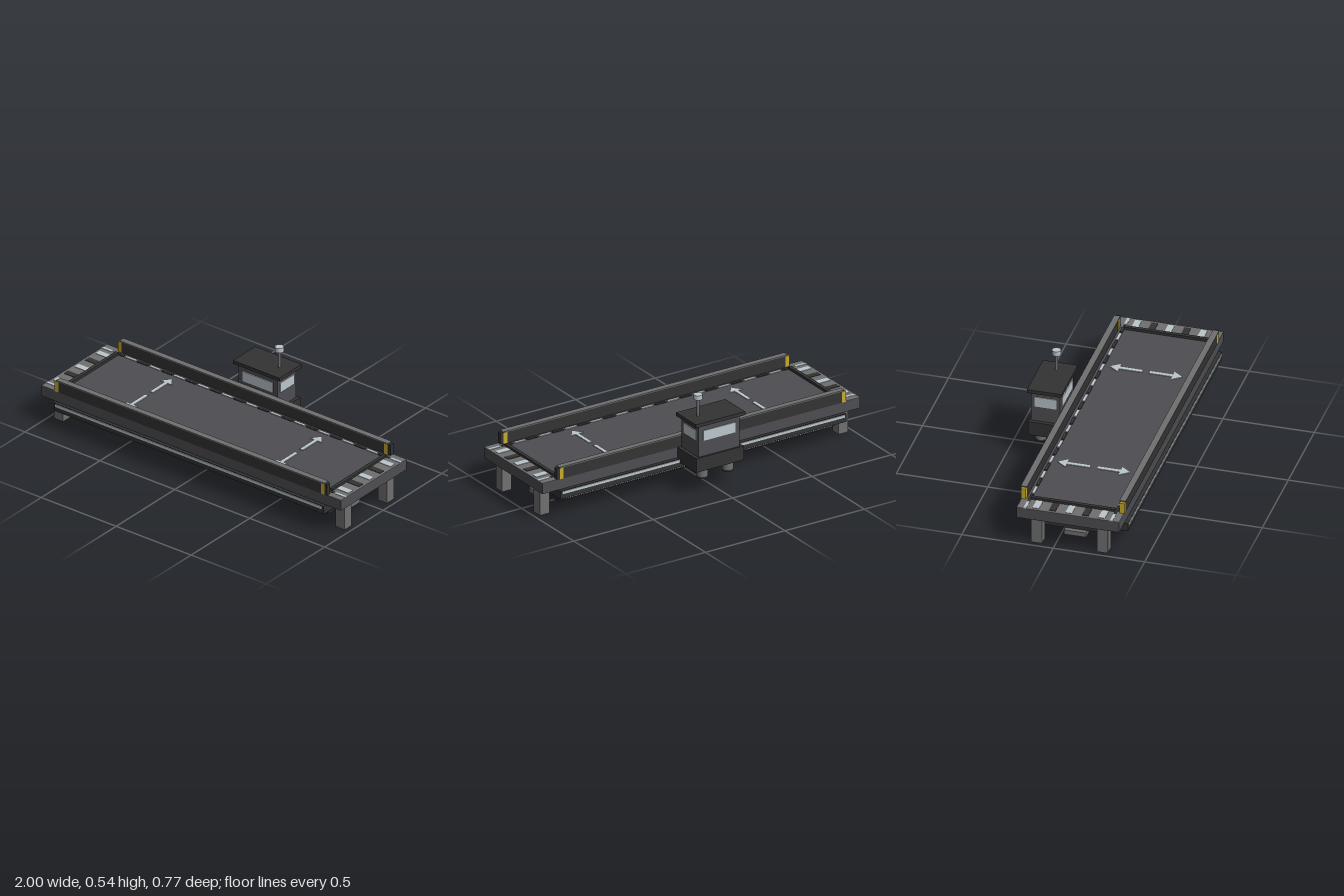
import * as THREE from 'three';

export function createModel() {
  const model = new THREE.Group();
  model.name = 'floatingDeck';
  const paint = (name, color) => {
    const m = new THREE.MeshStandardMaterial({ color });
    m.name = name;
    return m;
  };
  const black = paint('hullBlack', 0x333334);
  const deckGrey = paint('deckGrey', 0x4e4d52);
  const steel = paint('steelGrey', 0x707070);
  const pale = paint('paleGrey', 0xbcc6cc);
  const yellow = paint('warningYellow', 0xc9ab2c);

  const MID = 0.08; // centre line of the deck in z
  const add = (name, geometry, material, parent = model) => {
    const mesh = new THREE.Mesh(geometry, material);
    mesh.name = name;
    parent.add(mesh);
    return mesh;
  };
  // Box given by its limits on each axis
  const box = (name, material, [x0, x1], [y0, y1], [z0, z1], parent) => {
    const mesh = add(name, new THREE.BoxGeometry(x1 - x0, y1 - y0, z1 - z0), material, parent);
    mesh.position.set((x0 + x1) / 2, (y0 + y1) / 2, (z0 + z1) / 2);
    return mesh;
  };
  const around = (c, half) => [c - half, c + half];
  const post = (name, material, r, [y0, y1], x, z, parent, sides = 20) => {
    const mesh = add(name, new THREE.CylinderGeometry(r, r, y1 - y0, sides), material, parent);
    mesh.position.set(x, (y0 + y1) / 2, z);
    return mesh;
  };

  // Deck slab and stepped hull
  box('deck', deckGrey, [-1, 1], [0.157, 0.217], around(MID, 0.28));
  box('upperHull', black, [-0.9, 0.9], [0.11, 0.157], around(MID, 0.3));
  box('middleHull', black, [-0.865, 0.865], [0.072, 0.11], around(MID, 0.24));
  box('lowerHull', black, [-0.835, 0.835], [0.035, 0.072], around(MID, 0.18));
  box('keel', steel, [-0.86, 0.86], [0.008, 0.035], around(MID, 0.06));

  for (const s of [-1, 1]) {
    // Long side rubbing strips
    box('upperSideStrip', pale, [-0.89, 0.89], [0.138, 0.153], around(MID + s * 0.301, 0.003));
    box('lowerSideStrip', pale, [-0.84, 0.84], [0.086, 0.1], around(MID + s * 0.26, 0.003));

    // Bulwark with cap and yellow end marks
    const rail = new THREE.Group();
    rail.name = 'bulwark';
    model.add(rail);
    const z = MID + s * 0.27;
    box('railWall', black, [-0.89, 0.91], [0.217, 0.283], around(z, 0.0125), rail);
    box('railCap', steel, [-0.895, 0.895], [0.283, 0.289], around(z, 0.017), rail);
    for (const x of [-0.896, 0.88])
      box('yellowMark', yellow, around(x, 0.012), [0.217, 0.28], around(z, 0.0135), rail);

    // Alternating edge dashes
    for (let i = 0; i < 25; i++)
      box('edgeDash', i % 2 ? black : pale, around(-0.965 + i * 0.0804, i % 2 ? 0.034 : 0.035),
        [0.217, 0.2215], around(MID + s * 0.236, 0.008));

    // End plate, its stripes and the lip beside it
    box('endPlate', steel, around(s * 0.95, 0.05), [0.217, 0.2195], around(MID, 0.28));
    box('endLip', black, around(s * 0.893, 0.01), [0.217, 0.232], around(MID, 0.23));
    for (let i = -2; i <= 2; i++)
      box('endStripe', i % 2 ? black : pale, around(s * 0.945, 0.04), [0.2195, 0.222], around(MID + i * 0.09, 0.018));

    // Legs
    for (const t of [-1, 1])
      box('leg', steel, around(s * 0.94, 0.03), [0, 0.157], around(MID + t * 0.18, 0.03));
  }

  // Lane arrows pointing to both sides
  const arrow = new THREE.Shape([[-0.011, 0.02], [0.011, 0.02], [0.011, 0.145], [0.04, 0.145],
    [0, 0.198], [-0.04, 0.145], [-0.011, 0.145]].map(([x, y]) => new THREE.Vector2(x, y)));
  const arrowGeometry = new THREE.ExtrudeGeometry(arrow, { depth: 0.004, bevelEnabled: false });
  arrowGeometry.rotateX(-Math.PI / 2);
  for (const x of [-0.5, 0.5])
    for (const turn of [0, Math.PI]) {
      const mesh = add('laneArrow', arrowGeometry, pale);
      mesh.position.set(x, 0.217, MID);
      mesh.rotation.y = turn;
    }

  // Control cabin at the back
  const cabin = new THREE.Group();
  cabin.name = 'controlCabin';
  model.add(cabin);
  const CZ = -0.29;
  box('cabinBase', black, [-0.15, 0.15], [0.137, 0.2175], [-0.38, -0.199], cabin);
  box('cabinBody', deckGrey, [-0.13, 0.13], [0.217, 0.397], around(CZ, 0.08), cabin);
  box('cabinRoof', black, [-0.155, 0.155], [0.397, 0.417], around(CZ, 0.095), cabin);
  for (const s of [-1, 1]) {
    box('longWindow', pale, [-0.1, 0.1], [0.307, 0.365], around(CZ + s * 0.081, 0.004), cabin);
    box('sideWindow', pale, around(s * 0.131, 0.004), [0.307, 0.365], around(CZ, 0.06), cabin);
    // Round housings under the cabin base
    post('housing', steel, 0.03, [0.09, 0.137], s * 0.08, -0.33, cabin);
    post('housingFoot', black, 0.03, [0.08, 0.09], s * 0.08, -0.33, cabin);
  }
  post('mast', steel, 0.008, [0.417, 0.515], 0.08, CZ, cabin, 12);
  post('mastLamp', pale, 0.024, [0.513, 0.54], 0.08, CZ, cabin, 12);

  return model;
}
